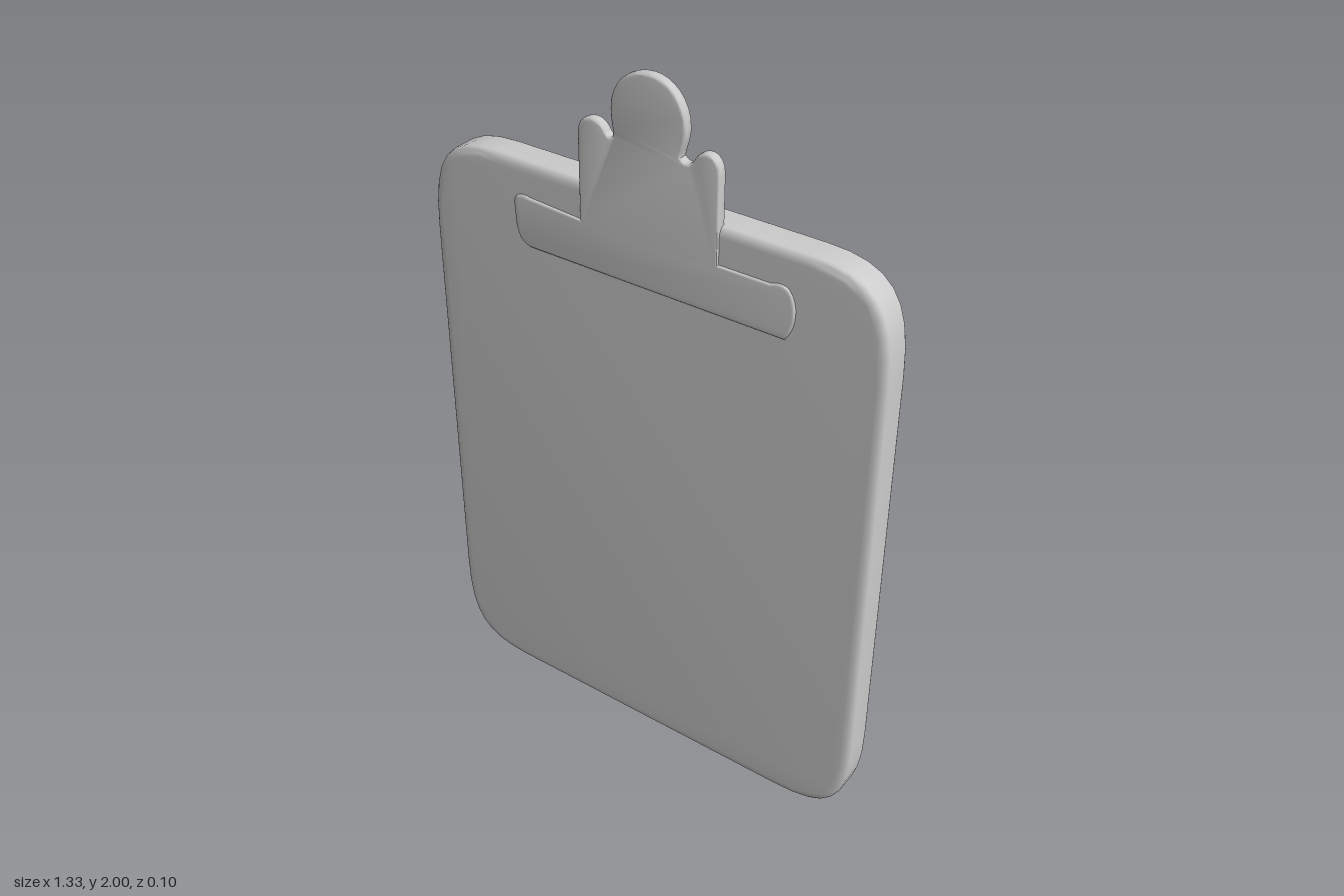
import * as THREE from 'three';
import { toCreasedNormals } from 'three/addons/utils/BufferGeometryUtils.js';

const material = new THREE.MeshStandardMaterial({ color: 0xcccccc });

// Extrudes an outline between two depths with rounded rims that stay inside it
function plate(name, shape, back, front, inset, rim, segments) {
  const geometry = new THREE.ExtrudeGeometry(shape, {
    depth: front - back - 2 * rim,
    curveSegments: 8,
    bevelThickness: rim,
    bevelSize: inset,
    bevelOffset: -inset,
    bevelSegments: segments,
  });
  geometry.translate(0, 0, back + rim);
  const mesh = new THREE.Mesh(toCreasedNormals(geometry, 0.8), material);
  mesh.name = name;
  return mesh;
}

// Board outline with soft, slightly tall corners
function boardShape() {
  const w = 0.665, h = 1.68, rx = 0.22, ry = 0.27, k = 0.76;
  const s = new THREE.Shape();
  s.moveTo(-w + rx, 0);
  s.lineTo(w - rx, 0);
  s.bezierCurveTo(w - rx * (1 - k), 0, w, ry * (1 - k), w, ry);
  s.lineTo(w, h - ry);
  s.bezierCurveTo(w, h - ry * (1 - k), w - rx * (1 - k), h, w - rx, h);
  s.lineTo(-w + rx, h);
  s.bezierCurveTo(-w + rx * (1 - k), h, -w, h - ry * (1 - k), -w, h - ry);
  s.lineTo(-w, ry);
  s.bezierCurveTo(-w, ry * (1 - k), -w + rx * (1 - k), 0, -w + rx, 0);
  return s;
}

// Clip outline: wide bar, upright tab, two shoulder bumps and a round head
function clipShape() {
  const s = new THREE.Shape();
  s.moveTo(-0.345, 1.45);
  s.lineTo(0.4, 1.45);
  s.bezierCurveTo(0.43, 1.49, 0.435, 1.55, 0.405, 1.585);
  s.quadraticCurveTo(0.385, 1.598, 0.355, 1.585);
  s.lineTo(0.215, 1.585);
  s.lineTo(0.215, 1.805);
  s.bezierCurveTo(0.215, 1.86, 0.165, 1.865, 0.145, 1.83);
  s.quadraticCurveTo(0.128, 1.8, 0.108, 1.822);
  s.bezierCurveTo(0.113, 1.85, 0.122, 1.86, 0.122, 1.892);
  s.bezierCurveTo(0.122, 1.955, 0.075, 2, 0.022, 2);
  s.bezierCurveTo(-0.04, 2, -0.088, 1.955, -0.088, 1.892);
  s.bezierCurveTo(-0.088, 1.86, -0.082, 1.85, -0.082, 1.825);
  s.quadraticCurveTo(-0.092, 1.81, -0.105, 1.835);
  s.bezierCurveTo(-0.125, 1.865, -0.185, 1.86, -0.185, 1.805);
  s.lineTo(-0.185, 1.58);
  s.lineTo(-0.34, 1.59);
  s.quadraticCurveTo(-0.39, 1.6, -0.392, 1.56);
  s.lineTo(-0.388, 1.5);
  s.quadraticCurveTo(-0.38, 1.455, -0.345, 1.45);
  return s;
}

export function createModel() {
  const group = new THREE.Group();
  group.name = 'clipboard';
  group.add(
    plate('board', boardShape(), -0.05, 0.045, 0.025, 0.015, 4),
    plate('clip', clipShape(), 0.022, 0.05, 0.008, 0.008, 3),
  );
  return group;
}
